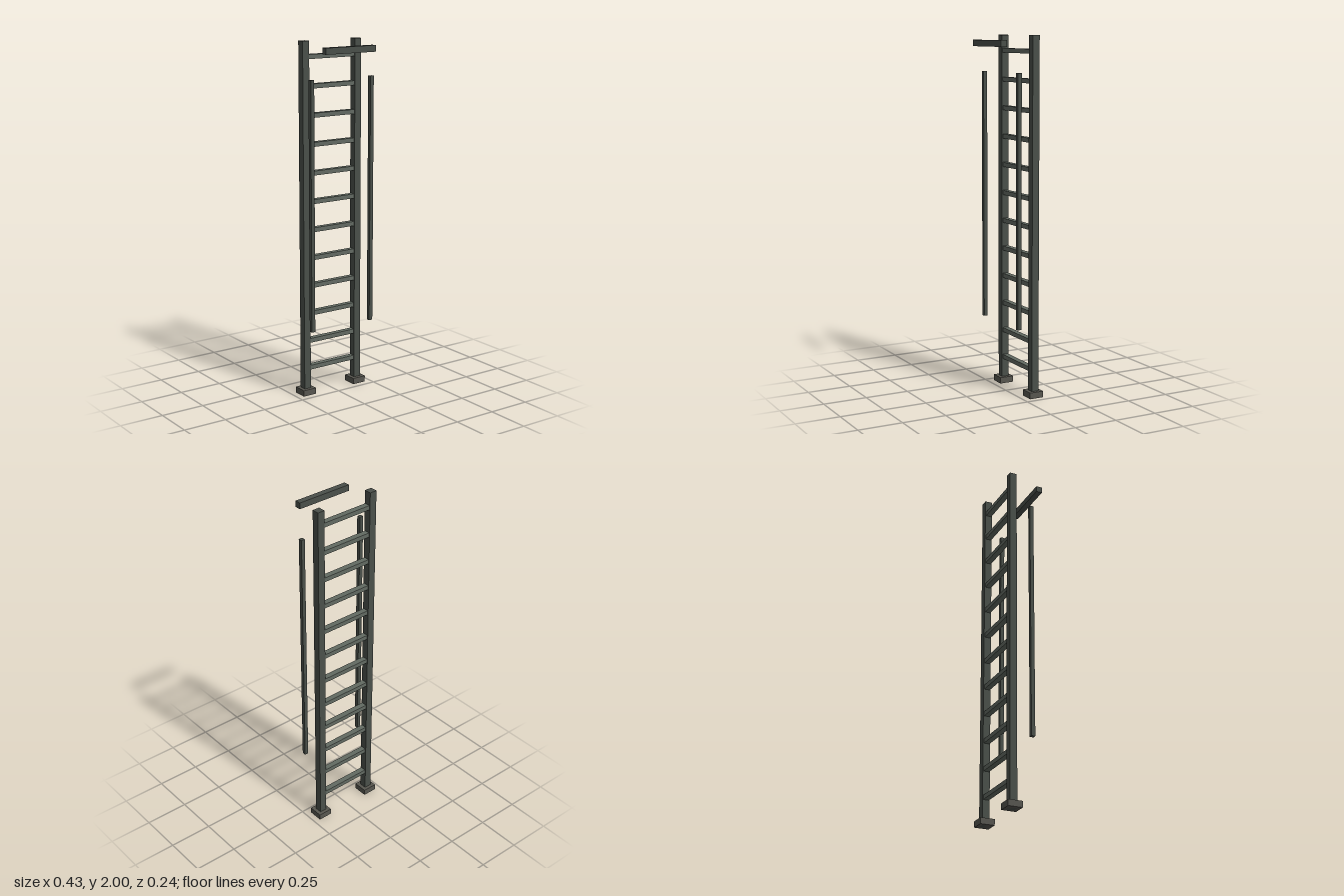
import * as THREE from 'three';

const paint = (color) => new THREE.MeshStandardMaterial({ color });

export function createModel() {
  const ladder = new THREE.Group();
  ladder.name = 'ladder';
  const railPaint = paint(0x4a504a);
  const rungPaint = paint(0x626a62);
  const footPaint = paint(0x57564f);

  const addBox = (name, size, position, material) => {
    const mesh = new THREE.Mesh(new THREE.BoxGeometry(...size), material);
    mesh.name = name;
    mesh.position.set(...position);
    ladder.add(mesh);
  };

  // Uprights, their feet and the detached handrails, mirrored
  for (const [side, s] of [['left', 1], ['right', -1]]) {
    addBox(`${side}Upright`, [0.042, 2, 0.042], [s * 0.173, 1, -0.08], railPaint);
    addBox(`${side}Foot`, [0.083, 0.035, 0.083], [s * 0.173, 0.0175, -0.079], footPaint);
    addBox(`${side}Handrail`, [0.022, 1.4, 0.022], [s * 0.198, 1.1, 0.028], railPaint);
  }

  // Evenly spaced rungs between the uprights
  for (let i = 0; i < 12; i++) {
    addBox(`rung${i + 1}`, [0.32, 0.025, 0.033], [0, 0.154 + i * 0.16, -0.08], rungPaint);
  }

  // Top crossbar in front of the ladder
  addBox('topCrossbar', [0.328, 0.035, 0.035], [0, 1.956, 0.1], railPaint);

  return ladder;
}
